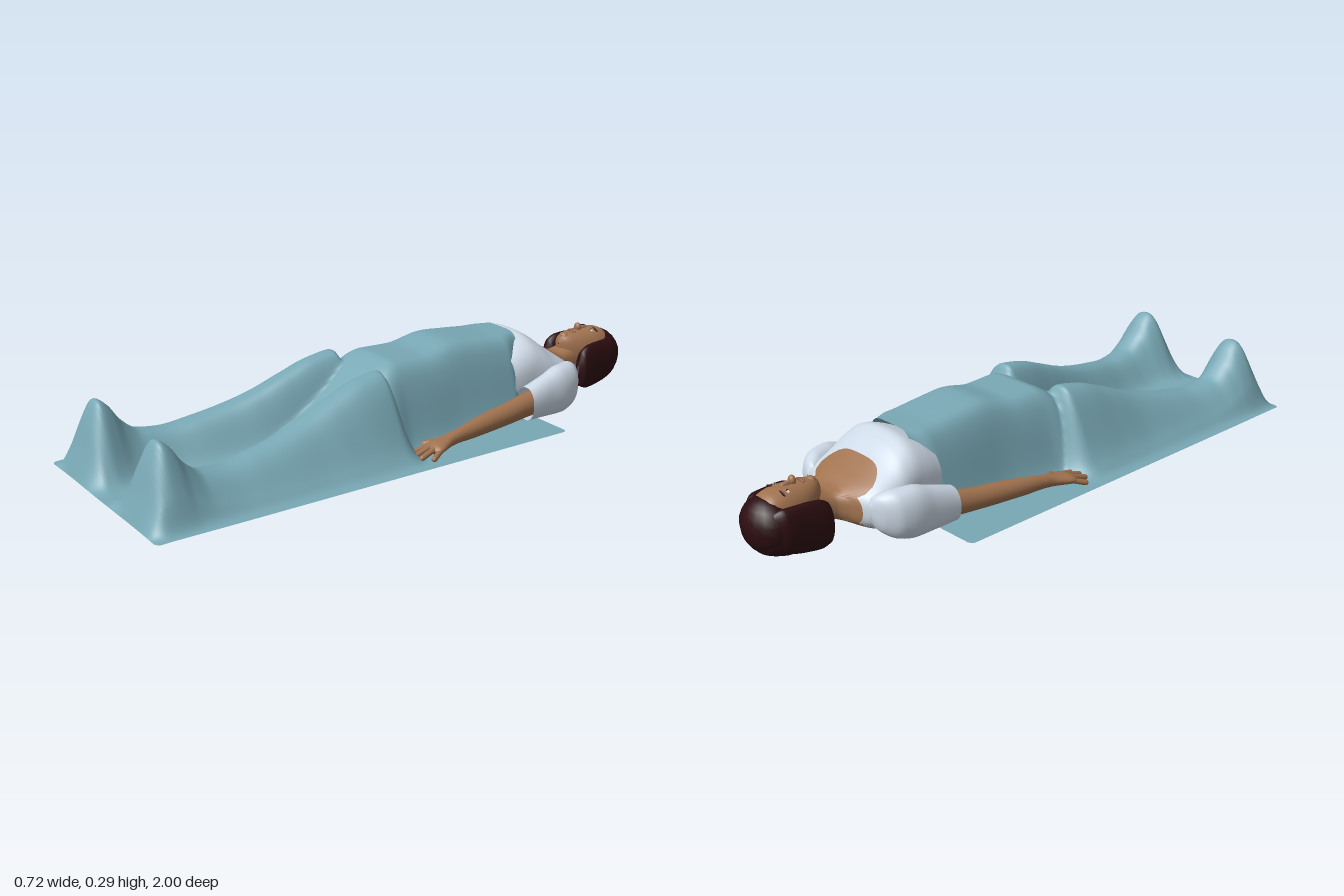
import * as THREE from 'three';

const mat = (name, color, side = THREE.FrontSide) => {
  const m = new THREE.MeshStandardMaterial({ color, side });
  m.name = name;
  return m;
};

// Smooth interpolation through rows of [position, value, value, ...]
function sample(table, t) {
  const n = table.length - 1;
  if (t <= table[0][0]) return table[0].slice(1);
  if (t >= table[n][0]) return table[n].slice(1);
  let i = 0;
  while (table[i + 1][0] < t) i++;
  const a = table[i], b = table[i + 1], p = table[Math.max(i - 1, 0)], q = table[Math.min(i + 2, n)];
  const h = b[0] - a[0], s = (t - a[0]) / h, s2 = s * s, s3 = s2 * s;
  return a.slice(1).map((_, k) => {
    const j = k + 1, d = (b[j] - a[j]) / h;
    // limited tangents, so the curve never overshoots
    const slope = (e) => (e * d <= 0 ? 0 : (2 * e * d) / (e + d));
    const ma = p === a ? d : slope((a[j] - p[j]) / (a[0] - p[0]));
    const mb = q === b ? d : slope((q[j] - b[j]) / (q[0] - b[0]));
    return (2 * s3 - 3 * s2 + 1) * a[j] + (s3 - 2 * s2 + s) * h * ma + (3 * s2 - 2 * s3) * b[j] + (s3 - s2) * h * mb;
  });
}

// Surface from fn(u, v) -> [x, y, z]; closed joins the u direction
function surface(nu, nv, fn, closed) {
  const pos = [], idx = [], cols = closed ? nu : nu + 1;
  for (let i = 0; i <= nv; i++) for (let j = 0; j < cols; j++) pos.push(...fn(j / nu, i / nv));
  for (let i = 0; i < nv; i++) for (let j = 0; j < nu; j++) {
    const k = (j + 1) % cols, a = i * cols + j, b = i * cols + k;
    idx.push(a, b, b + cols, a, b + cols, a + cols);
  }
  const g = new THREE.BufferGeometry();
  g.setAttribute('position', new THREE.Float32BufferAttribute(pos, 3));
  g.setIndex(idx);
  g.computeVertexNormals();
  return g;
}

// Point on a rounded section; rows are [z, centre x, half width, bottom y, top y]
function sectionPoint(table, z, ang, power, side = 1) {
  const [cx, rx, yb, yt] = sample(table, z), c = Math.cos(ang), s = Math.sin(ang);
  const f = (v) => Math.sign(v) * Math.abs(v) ** (2 / power);
  return [side * cx + rx * f(c), (yb + yt) / 2 + ((yt - yb) / 2) * f(s), z];
}
function loft(table, { power = 2, side = 1, nu = 28, nv = 36, from, to } = {}) {
  const z0 = from ?? (() => table[0][0]), z1 = to ?? (() => table[table.length - 1][0]);
  return surface(nu, nv, (u, v) => {
    const ang = u * Math.PI * 2;
    return sectionPoint(table, z0(ang) + (z1(ang) - z0(ang)) * v, ang, power, side);
  }, true);
}

// Sheet: [z, height, half width] over the trunk and [z, height, centre x, inner, outer width] over a leg
const trunk = [[-0.47, 0.268, 0.128], [-0.41, 0.268, 0.163], [-0.3, 0.277, 0.165], [-0.2, 0.285, 0.165], [-0.07, 0.263, 0.175],
  [0.03, 0.265, 0.182], [0.1, 0.235, 0.2], [0.2, 0.16, 0.2], [0.32, 0.085, 0.2], [0.45, 0.03, 0.2], [0.65, 0.005, 0.2], [1, 0.002, 0.2]];
const leg = [[0, 0.264, 0.12, 0.1, 0.1], [0.1, 0.262, 0.125, 0.1, 0.125], [0.2, 0.246, 0.13, 0.095, 0.13], [0.3, 0.21, 0.135, 0.09, 0.13],
  [0.4, 0.17, 0.145, 0.09, 0.125], [0.5, 0.14, 0.16, 0.09, 0.12], [0.6, 0.12, 0.172, 0.09, 0.115], [0.7, 0.106, 0.185, 0.09, 0.11],
  [0.78, 0.115, 0.193, 0.09, 0.11], [0.84, 0.16, 0.2, 0.095, 0.105], [0.88, 0.215, 0.2, 0.1, 0.105], [0.91, 0.235, 0.2, 0.105, 0.105],
  [0.94, 0.185, 0.2, 0.11, 0.11], [0.97, 0.085, 0.2, 0.12, 0.12], [1, 0.003, 0.2, 0.12, 0.12]];
function sheetHeight(x, z) {
  const ax = Math.abs(x), [th, tw] = sample(trunk, z), [lh, c, wi, wo] = sample(leg, z);
  const body = th * Math.exp(-((ax / tw) ** 6));
  const limb = lh * Math.exp(-(Math.abs((ax - c) / (ax < c ? wi : wo)) ** 2.6)) * THREE.MathUtils.smoothstep(z, 0.03, 0.12);
  const d = body - limb, blend = (body + limb + Math.sqrt(d * d + 0.0004)) / 2 - 0.01 * Math.exp(-Math.abs(d) * 30);
  return 0.006 + Math.max(0, blend) * (1 - THREE.MathUtils.smoothstep(ax, 0.3, 0.358) * 0.9);
}

// Trunk and neck, shared by skin and shirt
const torso = [[-0.8, 0, 0.048, 0.05, 0.16], [-0.76, 0, 0.048, 0.055, 0.15], [-0.725, 0, 0.056, 0.05, 0.142], [-0.7, 0, 0.085, 0.042, 0.145],
  [-0.685, 0, 0.125, 0.036, 0.152], [-0.665, 0, 0.16, 0.025, 0.165], [-0.63, 0, 0.178, 0.008, 0.186], [-0.58, 0, 0.178, 0.002, 0.218],
  [-0.54, 0, 0.174, 0.002, 0.25], [-0.5, 0, 0.17, 0.002, 0.267], [-0.46, 0, 0.168, 0.002, 0.256], [-0.415, 0, 0.163, 0.004, 0.235]];
const neckline = (a) => -0.685 + 0.095 * Math.max(0, 1 - Math.abs(Math.cos(a) / 0.74) ** 4);

const arm = [[-0.52, 0.205, 0.034, 0.03, 0.115], [-0.42, 0.212, 0.036, 0.025, 0.105], [-0.33, 0.225, 0.034, 0.022, 0.093], [-0.25, 0.236, 0.033, 0.02, 0.086],
  [-0.17, 0.25, 0.028, 0.02, 0.078], [-0.1, 0.262, 0.021, 0.022, 0.068], [-0.07, 0.265, 0.021, 0.02, 0.063], [-0.04, 0.268, 0.03, 0.018, 0.057],
  [0, 0.275, 0.04, 0.016, 0.05], [0.018, 0.277, 0.037, 0.016, 0.042], [0.026, 0.278, 0.002, 0.028, 0.03]];
const sleeve = [[-0.678, 0.15, 0.004, 0.09, 0.12], [-0.665, 0.16, 0.035, 0.05, 0.15], [-0.62, 0.186, 0.052, 0.015, 0.168], [-0.57, 0.2, 0.05, 0.005, 0.17],
  [-0.5, 0.208, 0.043, 0.008, 0.15], [-0.42, 0.212, 0.042, 0.012, 0.125]];
const face = [[-0.975, 0, 0.03, 0.08, 0.14], [-0.95, 0, 0.055, 0.05, 0.178], [-0.92, 0, 0.066, 0.04, 0.196], [-0.88, 0, 0.068, 0.04, 0.202],
  [-0.83, 0, 0.063, 0.05, 0.2], [-0.79, 0, 0.049, 0.075, 0.197], [-0.765, 0, 0.033, 0.1, 0.192], [-0.752, 0, 0.018, 0.13, 0.182], [-0.748, 0, 0.002, 0.15, 0.165]];
const hairBack = [[-0.99, 0, 0.02, 0.06, 0.12], [-0.96, 0, 0.075, 0.02, 0.15], [-0.9, 0, 0.1, 0.004, 0.15], [-0.85, 0, 0.104, 0.002, 0.135],
  [-0.8, 0, 0.108, 0.004, 0.11], [-0.77, 0, 0.1, 0.015, 0.085], [-0.76, 0, 0.01, 0.04, 0.06]];
const hairSide = [[-0.96, 0.055, 0.015, 0.06, 0.15], [-0.92, 0.072, 0.03, 0.03, 0.17], [-0.86, 0.08, 0.027, 0.015, 0.17], [-0.81, 0.085, 0.028, 0.01, 0.166],
  [-0.78, 0.088, 0.026, 0.02, 0.15], [-0.763, 0.09, 0.003, 0.06, 0.1]];
const fingers = [[[0.248, 0.034, 0], [0.24, 0.018, 0.06]], [[0.267, 0.036, 0.01], [0.268, 0.018, 0.072]], [[0.287, 0.035, 0.01], [0.294, 0.018, 0.066]],
  [[0.304, 0.032, 0], [0.322, 0.018, 0.04]], [[0.25, 0.032, -0.055], [0.21, 0.022, -0.005]]];

export function createModel() {
  const root = new THREE.Group();
  const skin = mat('skin', 0xa0724f), hair = mat('hair', 0x2c0d10), white = mat('eye white', 0xc9bdb2);
  const dark = mat('iris', 0x24150f), lips = mat('lips', 0x8a5444);
  const cloth = mat('sheet blue', 0x79a8b5, THREE.DoubleSide), shirt = mat('shirt white', 0xccd8e5, THREE.DoubleSide);
  const add = (name, geometry, material) => {
    const m = new THREE.Mesh(geometry, material);
    m.name = name;
    root.add(m);
    return m;
  };
  const ball = (name, material, p, r) => {
    const m = add(name, new THREE.SphereGeometry(1, 16, 12), material);
    m.position.set(...p);
    m.scale.set(...r);
    return m;
  };
  const up = new THREE.Vector3(0, 1, 0);
  const finger = (name, a, b, r) => {
    const p = new THREE.Vector3(...a), q = new THREE.Vector3(...b), d = q.clone().sub(p);
    const m = add(name, new THREE.CapsuleGeometry(r, d.length(), 4, 10), skin);
    m.position.copy(p).add(q).multiplyScalar(0.5);
    m.quaternion.setFromUnitVectors(up, d.normalize());
  };

  // Draped sheet with rounded corners
  add('sheet', surface(110, 190, (u, v) => {
    const z = -0.475 + 1.475 * v, e = Math.min(z + 0.475, 1 - z, 0.015) / 0.015;
    const x = (1 - 2 * u) * (0.358 - 0.015 * (1 - Math.sqrt(Math.max(0, 1 - (1 - e) ** 2))));
    return [x, sheetHeight(x, z), z];
  }), cloth);

  // Trunk, split along the scooped neckline
  add('neckAndChest', loft(torso, { power: 2.5, nu: 72, to: neckline }), skin);
  add('shirtBody', loft(torso, { power: 2.5, nu: 72, from: neckline }), shirt);

  // Head, face and crown
  add('head', loft(face, { power: 2.3, nu: 36 }), skin);
  ball('noseBridge', skin, [0, 0.199, -0.855], [0.008, 0.011, 0.024]);
  ball('noseTip', skin, [0, 0.207, -0.836], [0.014, 0.016, 0.011]);
  ball('mouthUpper', lips, [0, 0.197, -0.809], [0.019, 0.008, 0.005]);
  ball('mouthLower', lips, [0, 0.196, -0.802], [0.016, 0.008, 0.005]);
  ball('chin', skin, [0, 0.187, -0.772], [0.018, 0.012, 0.014]);
  ball('hairCrown', hair, [0, 0.1, -0.93], [0.093, 0.087, 0.07]);
  add('hairBack', loft(hairBack, { power: 2.4 }), hair);

  for (const s of [1, -1]) {
    const side = s > 0 ? 'left' : 'right';
    add(side + 'HairLock', loft(hairSide, { side: s }), hair);
    ball(side + 'Eye', white, [s * 0.029, 0.194, -0.873], [0.012, 0.006, 0.005]);
    ball(side + 'Iris', dark, [s * 0.029, 0.1965, -0.873], [0.005, 0.005, 0.0045]);
    ball(side + 'Brow', hair, [s * 0.031, 0.195, -0.892], [0.016, 0.005, 0.0025]).rotation.z = -s * 0.2;
    add(side + 'Sleeve', loft(sleeve, { side: s, power: 2.2 }), shirt);
    add(side + 'Arm', loft(arm, { side: s, nv: 50 }), skin);
    fingers.forEach(([a, b], i) => finger(side + (i < 4 ? 'Finger' : 'Thumb'), [s * a[0], a[1], a[2]], [s * b[0], b[1], b[2]], i < 4 ? 0.0092 : 0.011));
  }
  return root;
}
